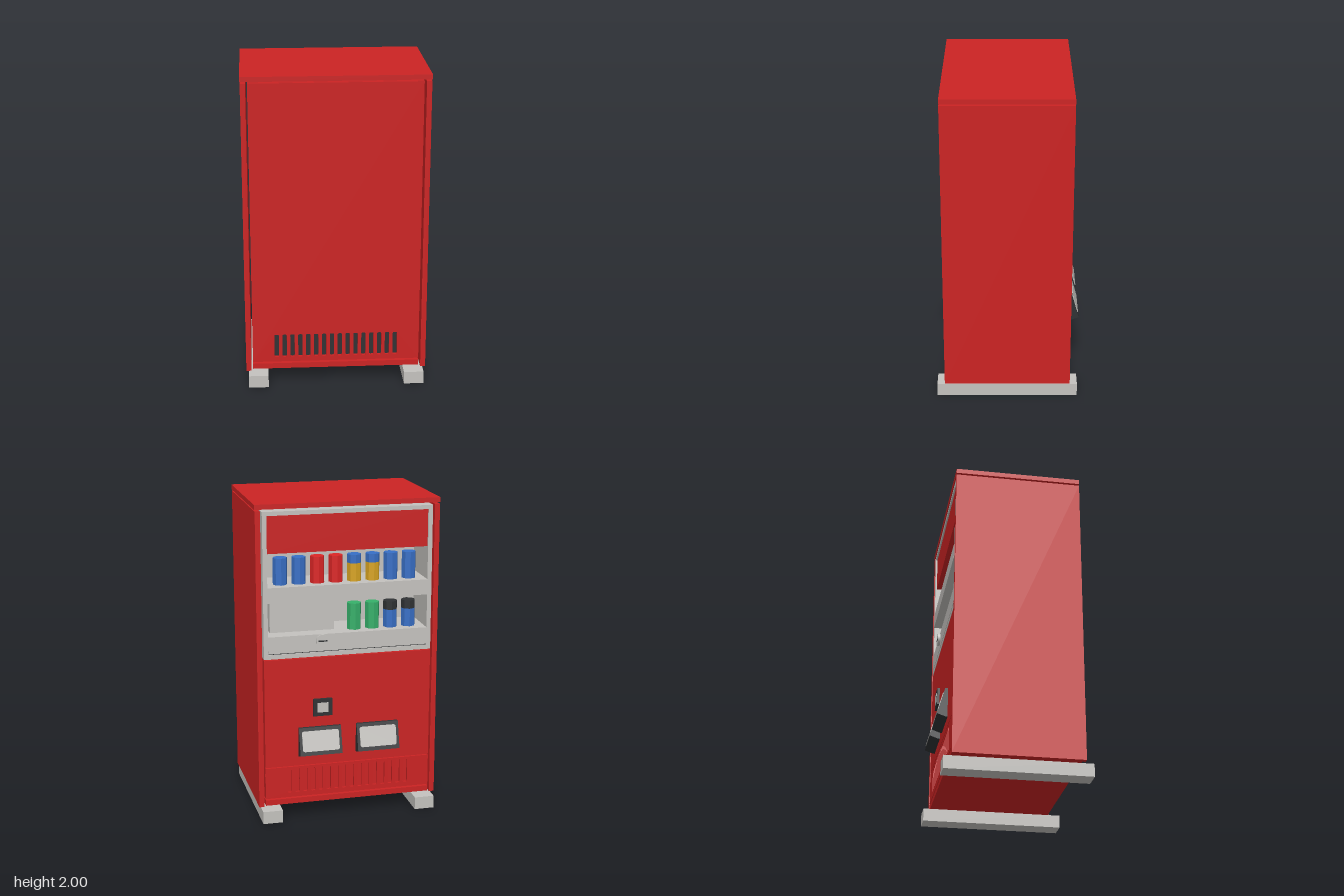
import * as THREE from 'three';

const mat = (name, color) => {
  const m = new THREE.MeshStandardMaterial({ color });
  m.name = name;
  return m;
};

export function createModel() {
  const model = new THREE.Group();
  model.name = 'vendingMachine';
  const red = mat('cabinetRed', 0xcb2323);
  const silver = mat('silver', 0xc4c2be);
  const dark = mat('darkPlastic', 0x303234);
  const blue = mat('canBlue', 0x386fc6);
  const green = mat('canGreen', 0x36b06a);
  const yellow = mat('canYellow', 0xd8a422);
  const canRed = mat('canRed', 0xdc2626);

  const add = (name, geo, material, parent = model) => {
    const m = new THREE.Mesh(geo, material);
    m.name = name;
    parent.add(m);
    return m;
  };
  // Box given by its limits on each axis
  const box = (name, material, x0, x1, y0, y1, z0, z1) => {
    const m = add(name, new THREE.BoxGeometry(x1 - x0, y1 - y0, z1 - z0), material);
    m.position.set((x0 + x1) / 2, (y0 + y1) / 2, (z0 + z1) / 2);
    return m;
  };
  const rect = (target, x0, x1, y0, y1, r) => {
    target.moveTo(x0 + r, y0);
    target.lineTo(x1 - r, y0);
    target.quadraticCurveTo(x1, y0, x1, y0 + r);
    target.lineTo(x1, y1 - r);
    target.quadraticCurveTo(x1, y1, x1 - r, y1);
    target.lineTo(x0 + r, y1);
    target.quadraticCurveTo(x0, y1, x0, y1 - r);
    target.lineTo(x0, y0 + r);
    target.quadraticCurveTo(x0, y0, x0 + r, y0);
    return target;
  };
  // Sheet with a row of sixteen vent slots
  const ventPanel = (name, y0, y1, z, depth) => {
    const shape = rect(new THREE.Shape(), -0.527, 0.527, y0, y1, 0.001);
    for (let i = 0; i < 16; i++) {
      const x = -0.375 + i * 0.05;
      shape.holes.push(rect(new THREE.Path(), x - 0.014, x + 0.014, 0.175, 0.33, 0.008));
    }
    const geo = new THREE.ExtrudeGeometry(shape, { depth, bevelEnabled: false, curveSegments: 2 });
    add(name, geo, red).position.z = z;
  };

  // Cabinet shell: roof, sides, floor, feet
  box('roof', red, -0.573, 0.573, 1.97, 2, -0.388, 0.402);
  for (const s of [-1, 1]) {
    const a = s * 0.555, b = s * 0.43;
    box('foot', silver, Math.min(a, b), Math.max(a, b), 0, 0.08, -0.435, 0.45);
    box('sidePanel', red, s > 0 ? 0.538 : -0.57, s > 0 ? 0.57 : -0.538, 0.095, 1.96, -0.388, 0.402);
  }
  box('floorPanel', red, -0.527, 0.527, 0.1, 0.135, -0.385, 0.385);

  // Inner body, leaving the display cavity open
  box('lowerBody', red, -0.527, 0.527, 0.145, 1.05, -0.365, 0.355);
  box('upperBody', red, -0.527, 0.527, 1.05, 1.955, -0.1, 0.355);
  box('ventBacking', dark, -0.4, 0.4, 0.16, 0.345, 0.354, 0.358);
  ventPanel('plainPanel', 0.145, 1.955, 0.36, 0.02);
  ventPanel('ventPanel', 0.145, 0.345, -0.385, 0.015);
  box('doorPanel', red, -0.527, 0.527, 0.352, 1.043, -0.385, -0.365);

  // Display cavity and its frame
  box('cavityBack', silver, -0.5, 0.5, 1.08, 1.7, -0.105, -0.099);
  for (const s of [-1, 1]) {
    box('cavityWall', silver, s > 0 ? 0.5 : -0.527, s > 0 ? 0.527 : -0.5, 1.05, 1.955, -0.385, -0.1);
  }
  box('frameTop', silver, -0.5, 0.5, 1.93, 1.955, -0.385, -0.1);
  box('frameBottom', silver, -0.5, 0.5, 1.05, 1.078, -0.385, -0.1);
  box('header', red, -0.5, 0.5, 1.7, 1.93, -0.375, -0.1);
  box('upperShelf', silver, -0.5, 0.5, 1.4, 1.495, -0.388, -0.1);
  box('lowerShelf', silver, -0.5, 0.5, 1.084, 1.19, -0.386, -0.1);
  box('bottomSeam', dark, -0.5, 0.5, 1.077, 1.085, -0.378, -0.1);
  box('displayBox', silver, 0.066, 0.47, 1.19, 1.385, -0.29, -0.1);

  // Drink cans, faceted, with an optional coloured top band
  const drum = (name, h, y, material, parent) => {
    const geo = new THREE.CylinderGeometry(0.044, 0.044, h, 8).toNonIndexed();
    geo.computeVertexNormals();
    add(name, geo, material, parent).position.y = y + h / 2;
  };
  const can = (i, y, body, band) => {
    const g = new THREE.Group();
    g.name = 'can';
    g.position.set(0.405 - i * 0.1157, y, -0.296);
    const h = 0.165, split = band ? h * 0.68 : h;
    drum('canBody', split, 0, body, g);
    if (band) drum('canBand', h - split, split, band, g);
    model.add(g);
  };
  const topRow = [[blue], [blue], [canRed], [canRed], [yellow, blue], [yellow, blue], [blue], [blue]];
  topRow.forEach(([body, band], i) => can(i, 1.495, body, band));
  [[green], [green], [blue, dark], [blue, dark]].forEach(([body, band], i) => can(i + 4, 1.19, body, band));

  // Lock
  const lock = add('lock', new THREE.CylinderGeometry(0.04, 0.04, 0.016, 24), silver);
  lock.rotation.x = Math.PI / 2;
  lock.position.set(0.165, 1.15, -0.393);
  box('lockSlot', dark, 0.137, 0.193, 1.146, 1.154, -0.403, -0.4);

  // Coin return
  box('coinReturn', dark, 0.105, 0.225, 0.67, 0.78, -0.401, -0.384);
  box('coinReturnPlate', silver, 0.131, 0.199, 0.694, 0.756, -0.404, -0.4);

  // Two sloping delivery hatches
  const profile = new THREE.Shape([
    [0.38, 0.413], [0.395, 0.413], [0.449, 0.432], [0.402, 0.6], [0.38, 0.6],
  ].map(([z, y]) => new THREE.Vector2(z, y)));
  const slope = Math.atan2(0.047, 0.168);
  for (const x of [-0.184, 0.184]) {
    const geo = new THREE.ExtrudeGeometry(profile, { depth: 0.268, bevelEnabled: false });
    geo.translate(0, 0, -0.134);
    const hatch = add('deliveryHatch', geo, dark);
    hatch.rotation.y = Math.PI / 2;
    hatch.position.x = x;
    const flapShape = rect(new THREE.Shape(), -0.117, 0.117, -0.064, 0.064, 0.014);
    const flapGeo = new THREE.ExtrudeGeometry(flapShape, { depth: 0.005, bevelEnabled: false, curveSegments: 3 });
    flapGeo.translate(0, 0, -0.0025);
    const flap = add('hatchFlap', flapGeo, silver);
    flap.rotation.x = slope;
    flap.position.set(x, 0.518, -0.4265);
  }
  return model;
}
